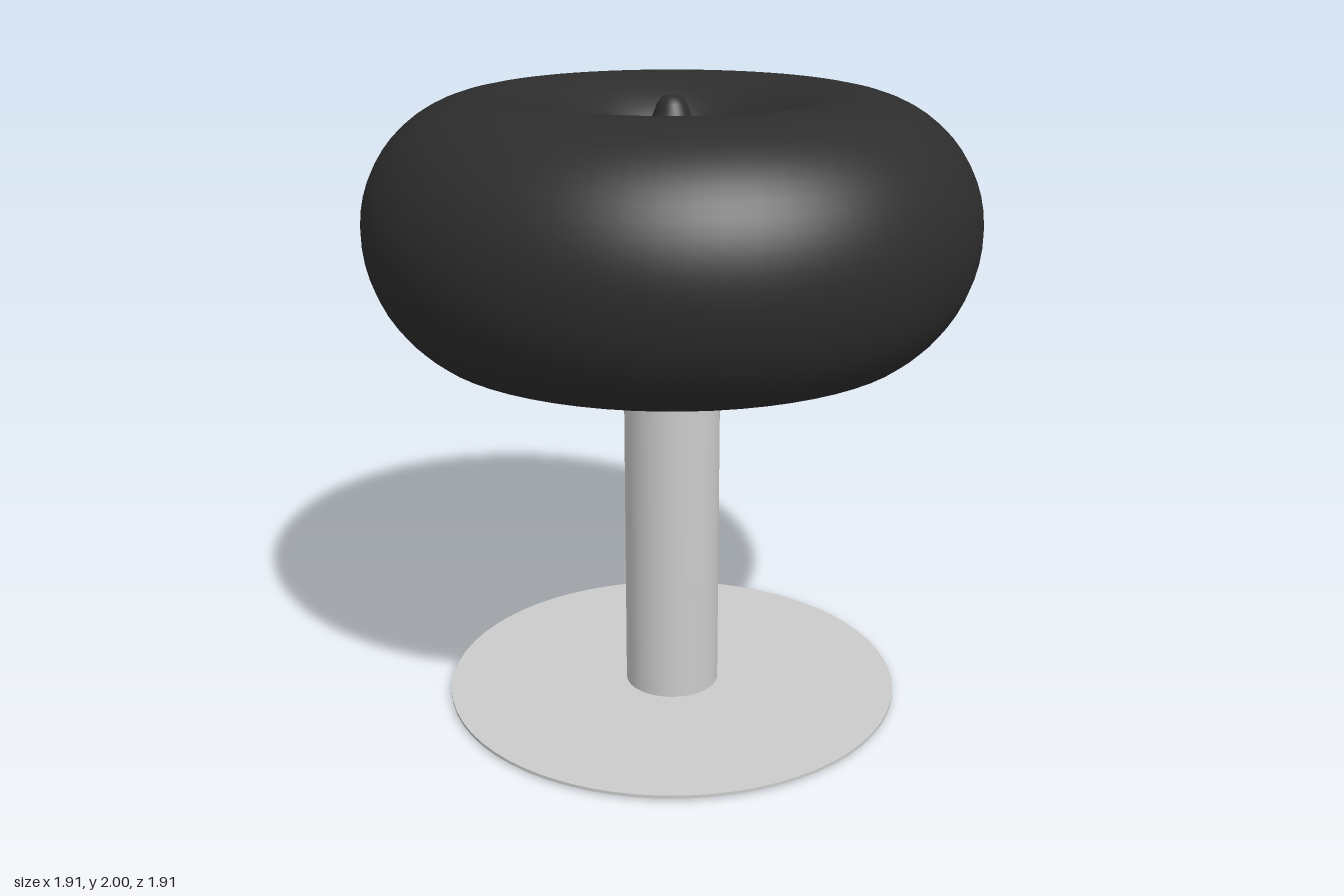
import * as THREE from 'three';

const grey = new THREE.MeshStandardMaterial({ color: 0xcccccc });
const black = new THREE.MeshStandardMaterial({ color: 0x2d2d2d, side: THREE.DoubleSide });
const glow = new THREE.MeshStandardMaterial({ color: 0xffeeaa });

export function createModel() {
  const lamp = new THREE.Group();

  const add = (name, geometry, material, y = 0) => {
    const mesh = new THREE.Mesh(geometry, material);
    mesh.name = name;
    mesh.position.y = y;
    lamp.add(mesh);
  };
  // Upright cylinder given by its radius and its bottom and top heights
  const disc = (name, radius, bottom, top, material = grey) =>
    add(name, new THREE.CylinderGeometry(radius, radius, top - bottom, 64), material, (bottom + top) / 2);

  // Foot and stem
  disc('footPad', 0.64, 0, 0.008);
  disc('basePlate', 0.75, 0.008, 0.018);
  disc('stem', 0.155, 0.018, 1.285);

  // Light fitting hidden inside the shade
  disc('diffuserPlate', 0.56, 1.285, 1.3);
  disc('bulb', 0.148, 1.3, 1.59, glow);

  // Ring-shaped shade: open below, rolled over the top and down to the centre
  const ring = 0.555, tube = 0.4, middle = 1.6;
  const profile = [];
  const start = -Math.asin(0.365 / 0.433), steps = 36;
  for (let i = 0; i <= steps; i++) {
    const a = start + (Math.PI - start) * (i / steps);
    const height = a < 0 ? 0.433 : 0.4;
    profile.push(new THREE.Vector2(ring + tube * Math.cos(a), middle + height * Math.sin(a)));
  }
  add('shade', new THREE.LatheGeometry(profile, 64), black);

  // Conical finial rising from the dip
  const finial = [[0.155, 1.6], [0.145, 1.67], [0.09, 1.85], [0.045, 1.965], [0.03, 1.985], [0, 1.99]]
    .map(([x, y]) => new THREE.Vector2(x, y));
  add('finial', new THREE.LatheGeometry(finial, 48), black);

  return lamp;
}
